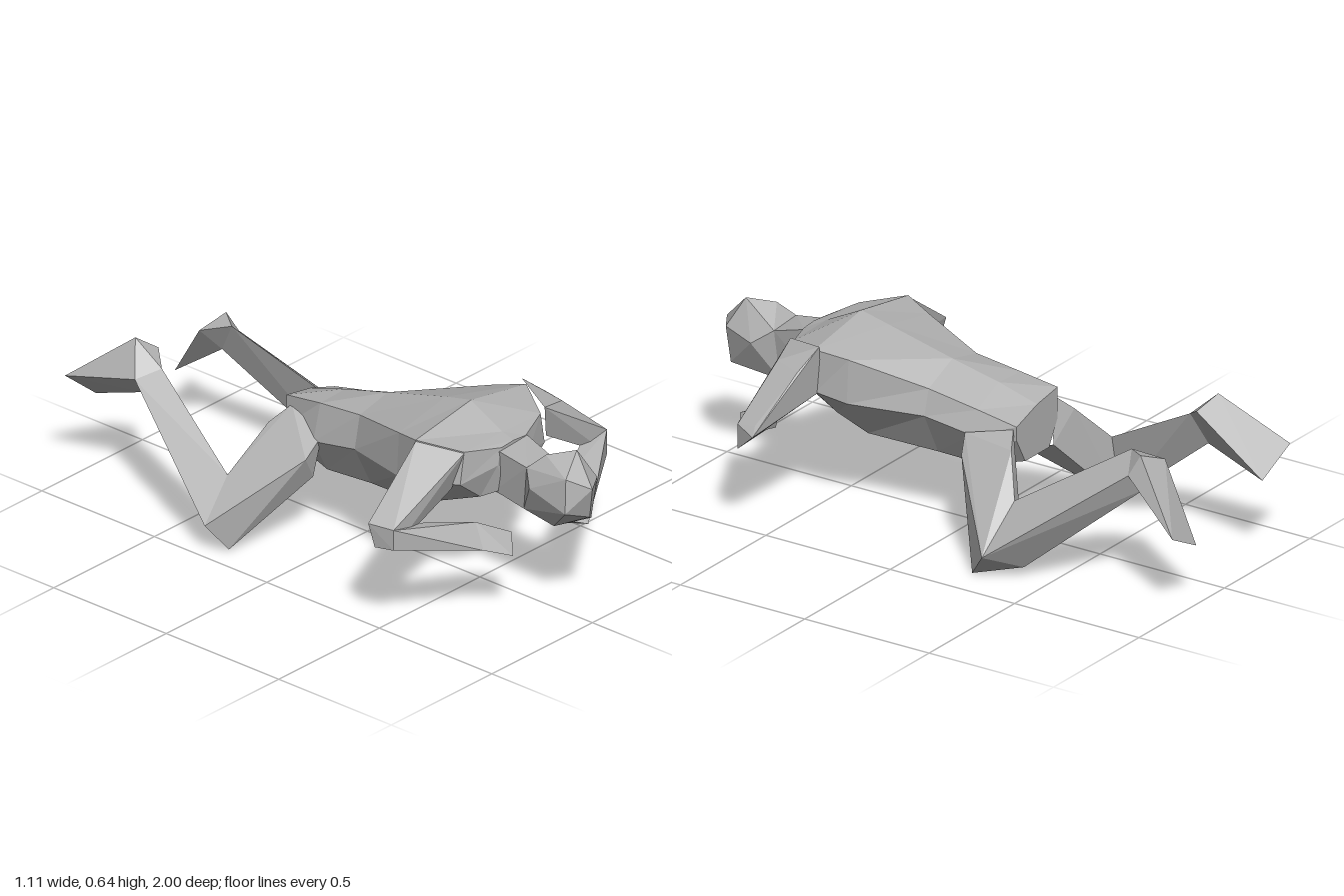
import * as THREE from 'three';
import { ConvexGeometry } from 'three/addons/geometries/ConvexGeometry.js';

const grey = new THREE.MeshStandardMaterial({ color: 0xb0b0b0, flatShading: true });
grey.name = 'clay grey';

const toVectors = (list) => list.map((p) => new THREE.Vector3(...p));

function flatGeometry(pos) {
  const geo = new THREE.BufferGeometry();
  geo.setAttribute('position', new THREE.Float32BufferAttribute(pos, 3));
  geo.computeVertexNormals();
  return geo;
}

// Faceted solid wrapped around corner lists. Each joint is [ring, next]:
// faces lying on that ring and turned toward the next part are left open.
function hull(name, lists, joints) {
  const solid = new ConvexGeometry(toVectors(lists.flat())).attributes.position;
  const ends = joints.map(([ring, next]) => ({
    ring: toVectors(ring),
    centre: new THREE.Box3().setFromPoints(toVectors(next)).getCenter(new THREE.Vector3()),
  }));
  const pos = [];
  for (let i = 0; i < solid.count; i += 3) {
    const c = [0, 1, 2].map((k) => new THREE.Vector3().fromBufferAttribute(solid, i + k));
    const tri = new THREE.Triangle(...c);
    const normal = tri.getNormal(new THREE.Vector3());
    const mid = tri.getMidpoint(new THREE.Vector3());
    const buried = ends.some(({ ring, centre }) =>
      c.every((v) => ring.some((r) => r.distanceTo(v) < 1e-4)) && centre.clone().sub(mid).dot(normal) > 0);
    if (!buried) c.forEach((v) => pos.push(v.x, v.y, v.z));
  }
  const mesh = new THREE.Mesh(flatGeometry(pos), grey);
  mesh.name = name;
  return mesh;
}

// Closed loft through rings of equal point count
function loft(name, rings) {
  const n = rings[0].length, pos = [];
  const face = (...corners) => corners.forEach((p) => pos.push(...p));
  for (let k = 0; k < rings.length - 1; k++) {
    const a = rings[k], b = rings[k + 1];
    for (let i = 0; i < n; i++) {
      const j = (i + 1) % n;
      face(a[i], a[j], b[i]);
      face(a[j], b[j], b[i]);
    }
  }
  const first = rings[0], last = rings[rings.length - 1];
  for (let i = 1; i < n - 1; i++) {
    face(first[0], first[i + 1], first[i]);
    face(last[0], last[i], last[i + 1]);
  }
  const mesh = new THREE.Mesh(flatGeometry(pos), grey);
  mesh.name = name;
  return mesh;
}

// Seven-sided body section: spine, upper edges, flanks, belly edges;
// roll tips the upper edges to one side and cx shifts the section
function section([z, spine, wTop, yTop, wSide, ySide, wBot, yBot, roll = 0, cx = 0]) {
  const tip = roll * wTop;
  return [
    [cx, spine, z], [cx - wTop, yTop + tip, z], [cx - wSide, ySide, z], [cx - wBot, yBot, z],
    [cx + wBot, yBot, z], [cx + wSide, ySide, z], [cx + wTop, yTop - tip, z],
  ];
}

// Three-part limb growing from a body core point
function limb(name, partNames, core, root, bend, end, tip) {
  const g = new THREE.Group();
  g.name = name;
  g.add(
    hull(partNames[0], [root, bend], [[root, [core]], [bend, end]]),
    hull(partNames[1], [bend, end], [[bend, root], [end, tip]]),
    hull(partNames[2], [end, tip], [[end, bend]]),
  );
  return g;
}
const arm = (side, ...rings) =>
  limb(side + 'Arm', [side + 'UpperArm', side + 'Forearm', side + 'Hand'], [0, 0.48, 0.5], ...rings);
const leg = (side, ...rings) =>
  limb(side + 'Leg', [side + 'Thigh', side + 'Shin', side + 'Foot'], [0, 0.37, -0.1], ...rings);

export function createModel() {
  const model = new THREE.Group();
  model.name = 'crawlingFigure';

  // Torso from hips to collar, the pelvis rolled slightly
  model.add(loft('torso', [
    [-0.23, 0.47, 0.12, 0.46, 0.12, 0.38, 0.07, 0.29, 0.25, -0.025],
    [-0.08, 0.515, 0.125, 0.485, 0.16, 0.38, 0.09, 0.25, 0.2, -0.02],
    [0.1, 0.56, 0.14, 0.515, 0.165, 0.41, 0.085, 0.255, 0.1, -0.01],
    [0.35, 0.625, 0.235, 0.58, 0.245, 0.425, 0.12, 0.275],
    [0.46, 0.65, 0.275, 0.605, 0.27, 0.45, 0.14, 0.33],
    [0.6, 0.58, 0.19, 0.575, 0.21, 0.46, 0.11, 0.38],
    [0.65, 0.565, 0.06, 0.56, 0.08, 0.5, 0.04, 0.4],
  ].map(section)));

  // Neck and head
  const nape = [[-0.07, 0.53, 0.77], [0.06, 0.52, 0.77], [-0.05, 0.36, 0.74], [0.04, 0.34, 0.76]];
  const collar = [[-0.07, 0.55, 0.64], [0.07, 0.56, 0.64], [-0.06, 0.39, 0.62], [0.06, 0.39, 0.62]];
  const skull = [
    [0.035, 0.6, 0.9], [-0.03, 0.58, 0.82], [-0.065, 0.54, 0.94], [0, 0.5, 1],
    [0.08, 0.5, 0.95], [0.095, 0.47, 0.84], [-0.09, 0.47, 0.8], [-0.08, 0.42, 0.95],
    [-0.035, 0.33, 0.86], [0.05, 0.36, 0.95], [0.02, 0.38, 0.97],
  ];
  model.add(hull('neck', [collar, nape], [[collar, [[0, 0.48, 0.5]]], [nape, skull]]));
  model.add(hull('head', [nape, skull], [[nape, collar]]));

  // Arms folded in under the face
  model.add(arm('right',
    [[-0.275, 0.6, 0.46], [-0.31, 0.545, 0.53], [-0.18, 0.575, 0.6], [-0.22, 0.44, 0.57], [-0.25, 0.44, 0.46]],
    [[-0.555, 0.415, 0.5], [-0.53, 0.41, 0.59], [-0.545, 0.33, 0.52], [-0.53, 0.335, 0.59]],
    [[-0.2, 0.34, 0.66], [-0.25, 0.28, 0.74], [-0.22, 0.26, 0.67]],
    [[-0.17, 0.25, 0.8], [-0.1, 0.29, 0.73], [-0.14, 0.225, 0.68], [-0.14, 0.29, 0.65]]));
  model.add(arm('left',
    [[0.275, 0.62, 0.44], [0.36, 0.55, 0.47], [0.21, 0.59, 0.6], [0.33, 0.56, 0.57], [0.25, 0.46, 0.57], [0.25, 0.45, 0.45]],
    [[0.55, 0.37, 0.52], [0.52, 0.4, 0.53], [0.52, 0.3, 0.6], [0.52, 0.39, 0.6]],
    [[0.22, 0.33, 0.67], [0.26, 0.27, 0.77], [0.22, 0.24, 0.69]],
    [[0.17, 0.25, 0.83], [0.1, 0.27, 0.76], [0.15, 0.22, 0.7], [0.13, 0.29, 0.7]]));

  // Legs bent at the knee with the feet raised behind
  model.add(leg('right',
    [[-0.14, 0.46, -0.21], [-0.2, 0.4, -0.26], [-0.24, 0.34, -0.06], [-0.18, 0.25, -0.08], [-0.16, 0.4, -0.06],
      [-0.13, 0.25, -0.1], [-0.12, 0.29, -0.23]],
    [[-0.485, 0.11, -0.29], [-0.42, 0.015, -0.24], [-0.35, 0.04, -0.34], [-0.36, 0.25, -0.3]],
    [[-0.34, 0.45, -0.73], [-0.25, 0.47, -0.69], [-0.27, 0.37, -0.75]],
    [[-0.27, 0.56, -0.79], [-0.2, 0.51, -0.75], [-0.265, 0.29, -0.97], [-0.385, 0.39, -1]]));
  model.add(leg('left',
    [[0.1, 0.42, -0.22], [0.17, 0.38, -0.26], [0.2, 0.33, -0.08], [0.17, 0.25, -0.08], [0.15, 0.39, -0.06],
      [0.12, 0.25, -0.1], [0.1, 0.28, -0.23]],
    [[0.43, 0.1, -0.32], [0.37, 0.005, -0.24], [0.3, 0.04, -0.4], [0.26, 0.25, -0.335]],
    [[0.12, 0.48, -0.71], [0.2, 0.42, -0.75], [0.15, 0.36, -0.78]],
    [[0.17, 0.49, -0.78], [0.07, 0.45, -0.81], [0.29, 0.28, -0.99], [0.15, 0.21, -0.99]]));

  return model;
}
